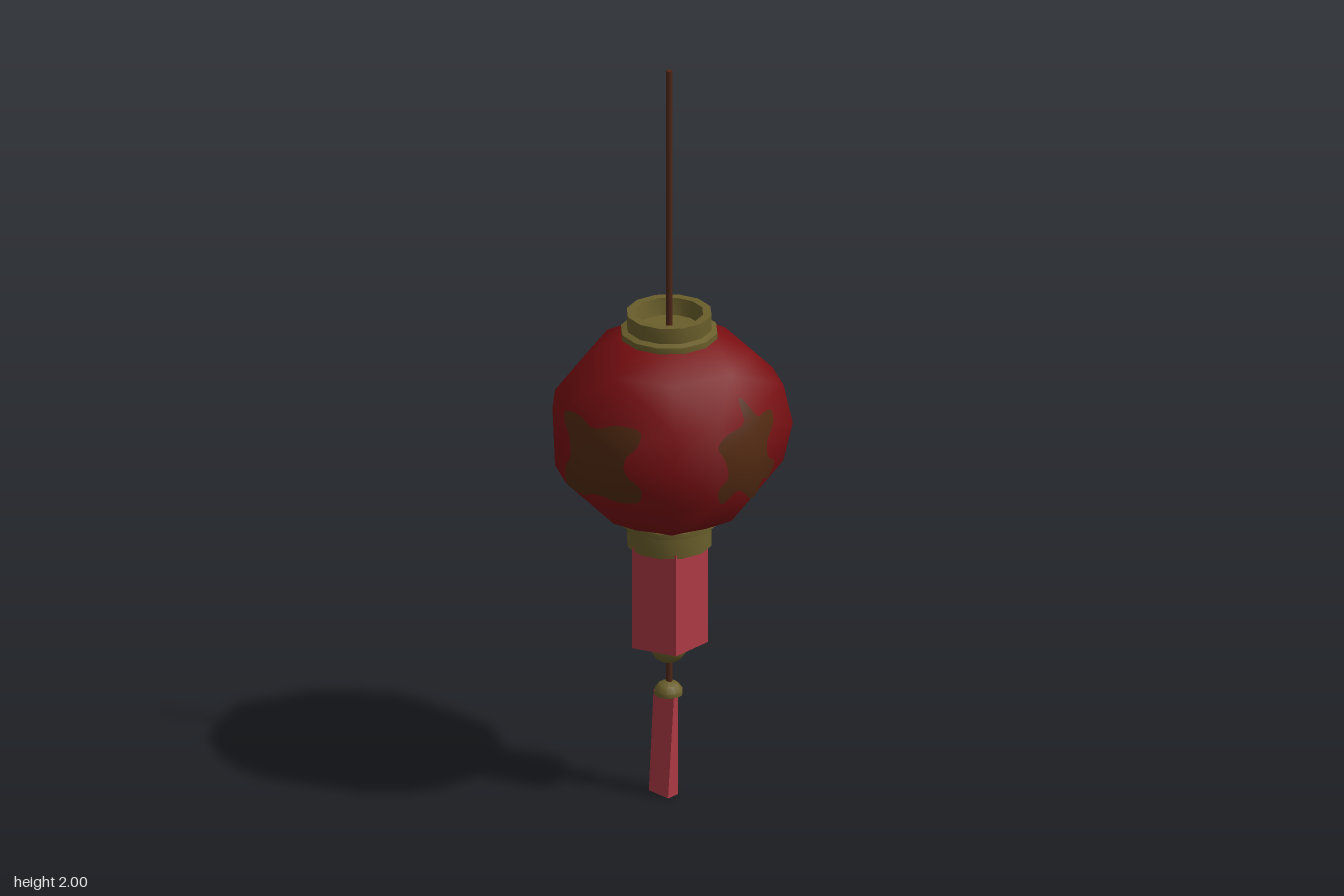
import * as THREE from 'three';
import { mergeVertices, toCreasedNormals } from 'three/addons/utils/BufferGeometryUtils.js';
import { ConvexGeometry } from 'three/addons/geometries/ConvexGeometry.js';

const AXIS_Z = -0.013;
const CENTRE = new THREE.Vector3(0, 1.015, AXIS_Z);

const material = (name, color, side = THREE.FrontSide) => {
  const m = new THREE.MeshStandardMaterial({ color, side });
  m.name = name;
  return m;
};

// Rounded shading: every normal points away from the lantern centre
function radialNormals(geometry) {
  const p = geometry.attributes.position, n = [], v = new THREE.Vector3();
  for (let i = 0; i < p.count; i++) {
    v.fromBufferAttribute(p, i).sub(CENTRE).normalize();
    n.push(v.x, v.y, v.z);
  }
  geometry.setAttribute('normal', new THREE.Float32BufferAttribute(n, 3));
  return geometry;
}

// Irregular faceted globe: hull of rings with uneven corner angles
function bodyGeometry() {
  const eight = [0, 45, 90, 135, 180, 225, 270, 315];
  const shoulder = [0, 45, 67.5, 90, 135, 157.5, 202.5, 225, 270, 315, 337.5];
  const middle = [0, 45, 135, 157.5, 202.5, 225, 292.5];
  const rings = [
    [0.757, 0.113, eight], [0.812, 0.212, eight], [0.91, 0.29, shoulder],
    [1.015, 0.314, middle],
    [1.12, 0.29, shoulder], [1.216, 0.212, eight], [1.272, 0.113, eight],
  ];
  const points = [];
  for (const [y, r, angles] of rings) {
    for (const deg of angles) {
      const a = THREE.MathUtils.degToRad(deg);
      points.push(new THREE.Vector3(Math.sin(a) * r, y, AXIS_Z + Math.cos(a) * r));
    }
  }
  const g = new ConvexGeometry(points);
  g.deleteAttribute('normal');
  return radialNormals(mergeVertices(g));
}

// Thin blot laid on the globe, seen along the compass angle (outline runs clockwise)
function blotGeometry(body, outline, angle, du, dv) {
  const STEPS = 8, COUNT = 72;
  const out = new THREE.Vector3(Math.sin(angle), 0, Math.cos(angle));
  const across = new THREE.Vector3(Math.cos(angle), 0, -Math.sin(angle));
  const curve = new THREE.CatmullRomCurve3(
    outline.map(([u, v]) => new THREE.Vector3(u + du, v + dv, 0)), true);
  const edge = curve.getPoints(COUNT).slice(0, COUNT);
  const ray = new THREE.Raycaster(), aim = out.clone().negate();
  const pos = [], index = [];
  for (let k = 0; k <= STEPS; k++) {
    for (let j = 0; j < COUNT; j++) {
      const t = k / STEPS;
      const u = THREE.MathUtils.lerp(du, edge[j].x, t);
      const v = THREE.MathUtils.lerp(1.015 + dv, edge[j].y, t);
      const start = out.clone().addScaledVector(across, u);
      start.y = v;
      ray.set(start, aim);
      const p = ray.intersectObject(body)[0].point;
      p.addScaledVector(p.clone().sub(CENTRE).normalize(), 0.004);
      pos.push(p.x, p.y, p.z);
      if (k < STEPS) {
        const a = k * COUNT + j, b = k * COUNT + (j + 1) % COUNT;
        index.push(a, b, b + COUNT, a, b + COUNT, a + COUNT);
      }
    }
  }
  const g = new THREE.BufferGeometry();
  g.setAttribute('position', new THREE.Float32BufferAttribute(pos, 3));
  g.setIndex(index);
  return radialNormals(g);
}

const lathe = (profile, sides) => toCreasedNormals(
  new THREE.LatheGeometry(profile.map(([r, y]) => new THREE.Vector2(r, y)), sides), 0.7);

// Open sleeve between a lower and an upper loop of [x, z] corners
function sleeve(lower, upper, y0, y1) {
  const pos = [], index = [], n = lower.length;
  for (const [x, z] of lower) pos.push(x, y0, z);
  for (const [x, z] of upper) pos.push(x, y1, z);
  for (let i = 0; i < n; i++) {
    const j = (i + 1) % n;
    index.push(i, j, j + n, i, j + n, i + n);
  }
  const g = new THREE.BufferGeometry();
  g.setAttribute('position', new THREE.Float32BufferAttribute(pos, 3));
  g.setIndex(index);
  return toCreasedNormals(g, 0.6);
}

export function createModel() {
  const red = material('lantern red', 0x7a0f12);
  const brass = material('aged brass', 0x6a5e2b);
  const brown = material('blot brown', 0x522a12);
  const cordBrown = material('cord brown', 0x4e2717);
  const pink = material('tassel pink', 0xae3a45, THREE.DoubleSide);

  const group = new THREE.Group();
  group.name = 'hangingLantern';
  const add = (name, geometry, mat, y = 0, z = 0) => {
    const m = new THREE.Mesh(geometry, mat);
    m.name = name;
    m.position.set(0, y, z);
    group.add(m);
    return m;
  };

  // Globe and its four blots
  const body = add('globe', bodyGeometry(), red);
  const square = [[-0.11, 1.11], [-0.05, 1.12], [0.01, 1.105], [0.065, 1.12], [0.122, 1.11],
    [0.117, 1.07], [0.095, 1.04], [0.1, 0.99], [0.127, 0.96], [0.117, 0.92], [0.065, 0.91],
    [0.01, 0.925], [-0.04, 0.905], [-0.1, 0.915], [-0.105, 0.96], [-0.08, 1.0],
    [-0.085, 1.05], [-0.11, 1.08]];
  const star = [[0, 1.17], [0.028, 1.12], [0.07, 1.112], [0.116, 1.097], [0.11, 1.06],
    [0.08, 1.03], [0.085, 0.985], [0.122, 0.955], [0.1, 0.922], [0.053, 0.937], [0.006, 0.9],
    [-0.037, 0.937], [-0.09, 0.912], [-0.1, 0.95], [-0.07, 0.98], [-0.08, 1.03],
    [-0.1, 1.07], [-0.074, 1.097], [-0.026, 1.112]];
  const blots = [
    ['frontBlot', square, 0, 0, 0], ['leftBlot', star, Math.PI / 2, 0, 0],
    ['backBlot', star, Math.PI, 0, 0.02], ['rightBlot', square, -Math.PI / 2, 0.02, 0]];
  for (const [name, outline, angle, du, dv] of blots) {
    add(name, blotGeometry(body, outline, angle, du, dv), brown);
  }

  // Collars
  add('topCollar', lathe([[0.108, 1.26], [0.125, 1.266], [0.125, 1.282], [0.11, 1.288],
    [0.11, 1.33], [0.088, 1.33], [0.08, 1.286], [0, 1.276]], 12), brass, 0, AXIS_Z);
  add('bottomCollar', lathe([[0, 0.7], [0.1, 0.69], [0.11, 0.69], [0.11, 0.745],
    [0.125, 0.75], [0.125, 0.766], [0.108, 0.772]], 12), brass, 0, AXIS_Z);

  // Hanging cord and lower cord
  const cord = (name, y0, y1) => add(name,
    new THREE.CylinderGeometry(0.008, 0.008, y1 - y0, 8), cordBrown, (y0 + y1) / 2, AXIS_Z);
  cord('hangingCord', 1.27, 2);
  cord('lowerCord', 0.27, 0.72);

  // Five-sided upper fringe
  const five = [0, 1, 2, 3, 4].map((i) => {
    const a = Math.PI - i * Math.PI * 0.4;
    return [Math.cos(a) * 0.105, Math.sin(a) * 0.102 - 0.005];
  });
  add('upperFringe', sleeve(five, five, 0.42, 0.7), pink);

  // Bead, cap and slim tassel
  add('bead', new THREE.SphereGeometry(0.05, 10, 8), brass, 0.408, -0.011);
  add('tasselCap', lathe([[0, 0.27], [0.037, 0.27], [0.037, 0.282], [0.026, 0.298],
    [0, 0.306]], 10), brass, 0, -0.01);
  add('lowerTassel', sleeve(
    [[-0.038, 0.022], [0.033, 0.028], [0.033, -0.01], [-0.038, -0.01]],
    [[-0.038, 0.004], [0.033, 0.006], [0.033, -0.01], [-0.038, -0.01]], 0, 0.275), pink);

  return group;
}
